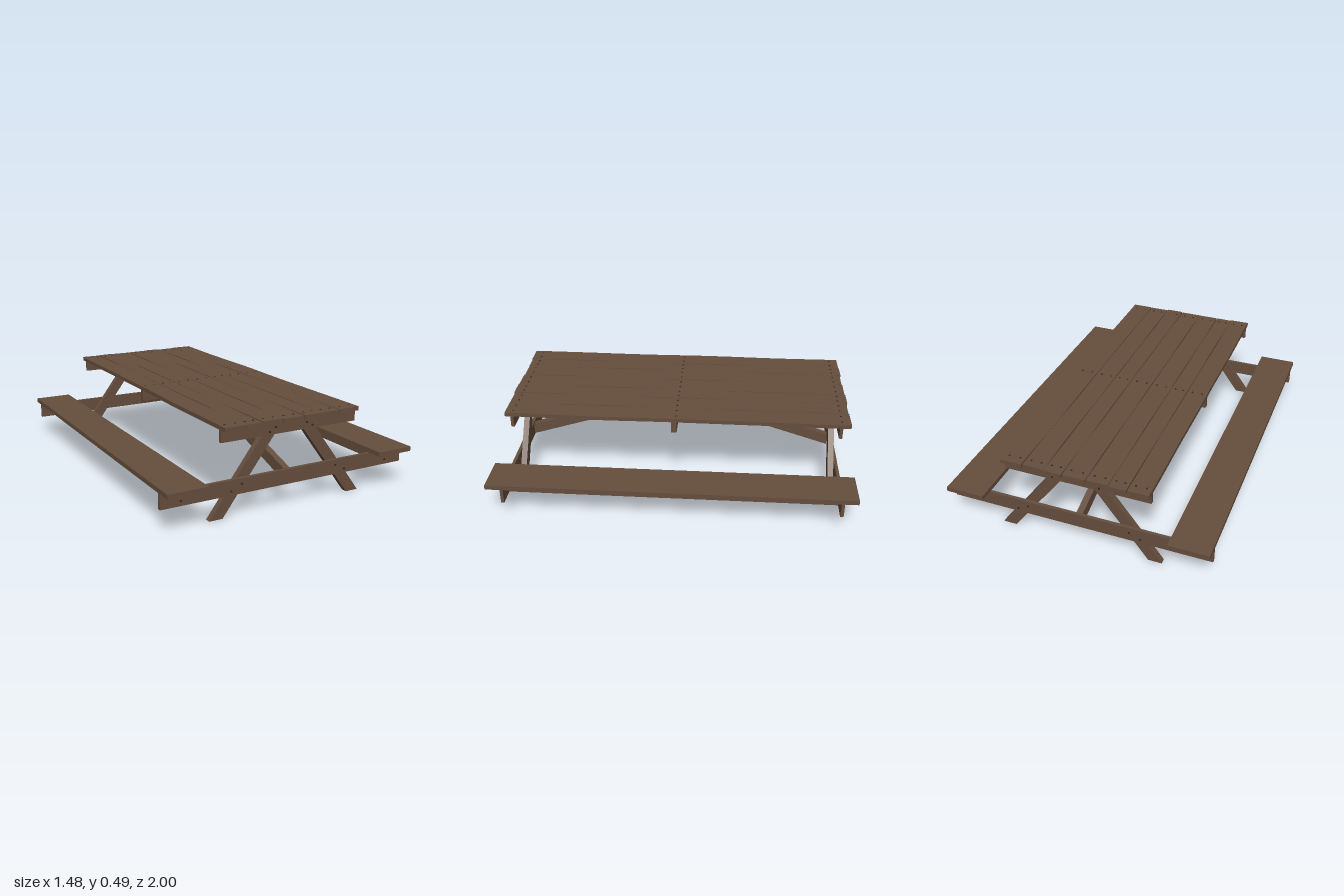
import * as THREE from 'three';

const wood = new THREE.MeshStandardMaterial({ color: 0x664e3d });
wood.name = 'brown wood';
const iron = new THREE.MeshStandardMaterial({ color: 0x30261f });
iron.name = 'dark iron';

export function createModel() {
  const model = new THREE.Group();

  const add = (name, geometry, material = wood) => {
    const mesh = new THREE.Mesh(geometry, material);
    mesh.name = name;
    model.add(mesh);
    return mesh;
  };

  // Box given by its lower and upper limits
  const board = (name, [x0, x1], [y0, y1], [z0, z1]) => {
    const g = new THREE.BoxGeometry(x1 - x0, y1 - y0, z1 - z0);
    return add(name, g.translate((x0 + x1) / 2, (y0 + y1) / 2, (z0 + z1) / 2));
  };

  // Flat outline in x-y, extruded along z
  const slab = (points, depth) => new THREE.ExtrudeGeometry(
    new THREE.Shape(points.map(([x, y]) => new THREE.Vector2(x, y))),
    { depth, bevelEnabled: false });

  const boltGeometry = new THREE.CylinderGeometry(0.005, 0.006, 0.005, 8);
  const topBolt = (x, y, z) => add('topBolt', boltGeometry, iron).position.set(x, y, z);
  const sideBolt = (x, y, z) => {
    const bolt = add('sideBolt', boltGeometry, iron);
    bolt.position.set(x, y, z);
    bolt.rotation.x = z > 0 ? Math.PI / 2 : -Math.PI / 2;
  };

  // Table top: seven slightly warped planks of uneven width and length
  const seams = [-0.414, -0.296, -0.197, -0.075, 0.053, 0.157, 0.277, 0.404];
  for (let i = 0; i < 7; i++) {
    const x0 = seams[i] + 0.002, x1 = seams[i + 1] - 0.002;
    const z0 = -0.97 - 0.004 * Math.sin(i * 2.1), z1 = 0.953 + 0.004 * Math.cos(i * 1.7);
    const g = new THREE.BoxGeometry(x1 - x0, 0.022, z1 - z0, 1, 1, 24);
    g.translate((x0 + x1) / 2, 0.478, (z0 + z1) / 2);
    const p = g.attributes.position;
    for (let k = 0; k < p.count; k++) {
      const x = p.getX(k), z = p.getZ(k);
      p.setY(k, p.getY(k) + 0.0012 * Math.sin(z * 6 + i * 1.9 + x * 9));
      p.setX(k, x + 0.001 * Math.sin(z * 9 + i * 2.7));
    }
    g.computeVertexNormals();
    add('tablePlank', g);
    for (const z of [-0.92, -0.008, 0.905]) {
      for (const t of [0.25, 0.75]) topBolt(x0 + (x1 - x0) * t, 0.489, z);
    }
  }

  // Middle cleat under the table top
  board('middleCleat', [-0.41, 0.405], [0.405, 0.467], [-0.015, 0.015]);

  for (const s of [-1, 1]) {
    // Bench seat with its stiffening rail underneath
    board('benchSeat', [s * 0.63 - 0.11, s * 0.63 + 0.11], [0.205, 0.23], [-1, 1]);
    board('benchRail', [s * 0.63 - 0.012, s * 0.63 + 0.012], [0.127, 0.205], [-0.908, 0.9]);

    // End frame: cross beam and cleat outside the splayed legs
    const inner = s > 0 ? 0.9 : -0.908;
    const span = s > 0 ? [inner, inner + 0.018] : [inner - 0.018, inner];
    const face = inner + s * 0.02;
    board('crossBeam', [-0.74, 0.74], [0.123, 0.204], span);
    board('endCleat', [-0.41, 0.405], [0.404, 0.467], span);
    for (const m of [-1, 1]) {
      const leg = [[0.388, 0], [0.464, 0], [0.113, 0.467], [0.037, 0.467]].map(([x, y]) => [m * x, y]);
      const g = slab(leg, 0.033);
      add('leg', g.translate(0, 0, s > 0 ? inner - 0.033 : inner));
      for (const [x, y] of [[0.29, 0.175], [0.35, 0.145], [0.63, 0.15], [0.095, 0.44], [0.13, 0.42]]) {
        sideBolt(m * x, y, face);
      }
    }

    // Diagonal brace from the middle cleat down to the cross beam
    const brace = slab([[0.012, 0.467], [0.012, 0.407], [0.9, 0.128], [0.9, 0.194], [0.035, 0.467]], 0.036);
    brace.translate(0, 0, -0.018).rotateY(-s * Math.PI / 2);
    add('diagonalBrace', brace);
  }

  return model;
}
